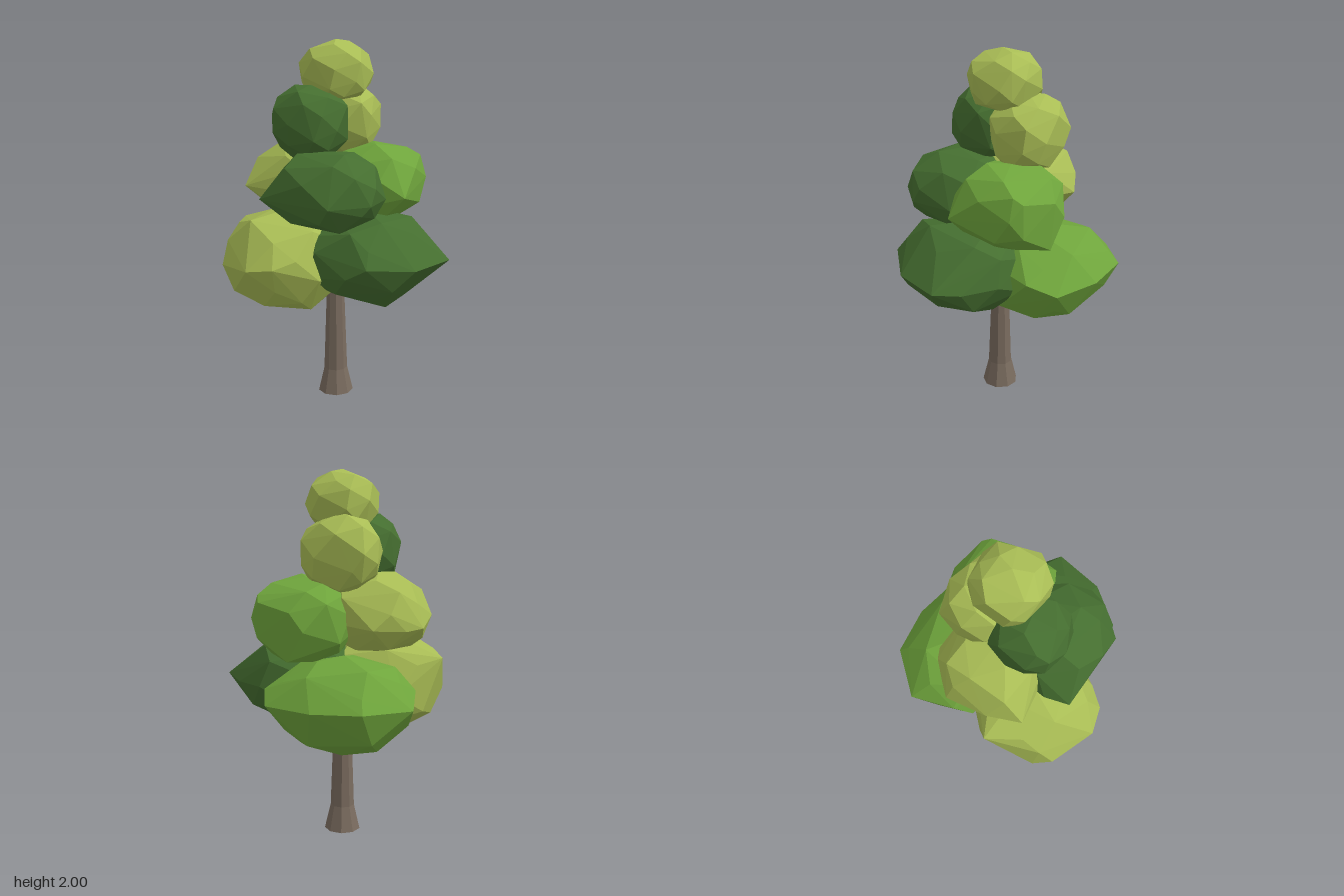
import * as THREE from 'three';
import { ConvexGeometry } from 'three/addons/geometries/ConvexGeometry.js';

const material = (color) => new THREE.MeshStandardMaterial({ color, flatShading: true });

// Small seeded generator for the uneven facets
function seeded(seed) {
  let s = seed * 7919 + 17;
  return () => (s = (s * 16807) % 2147483647) / 2147483647;
}

// Fuller than a plain ellipsoid: pushes the diagonals outward
const swell = (t) => Math.sign(t) * Math.abs(t) ** 0.82;

// Faceted clump: hull of uneven points on a swollen ellipsoid plus a few jutting corners
function clumpGeometry(center, radii, corners, seed) {
  const rand = seeded(seed), points = [], count = 34;
  rand();
  for (let i = 0; i < count; i++) {
    const y = 1 - (2 * i) / (count - 1);
    const ring = Math.sqrt(1 - y * y);
    const angle = i * 2.39996 + seed + (rand() - 0.5) * 0.35;
    const r = 0.94 + rand() * 0.07;
    const direction = new THREE.Vector3(swell(Math.cos(angle) * ring), swell(y), swell(Math.sin(angle) * ring));
    points.push(direction.multiply(radii).multiplyScalar(r).add(center));
  }
  for (const [x, y, z] of corners) points.push(new THREE.Vector3(x, y, z));
  return new ConvexGeometry(points);
}

export function createModel() {
  const tree = new THREE.Group();
  tree.name = 'tree';

  // Trunk with a flared foot
  const profile = [[0, 0], [0.1, 0], [0.067, 0.14], [0.05, 0.62], [0.048, 0.82], [0, 0.82]]
    .map(([r, y]) => new THREE.Vector2(r, y));
  const trunk = new THREE.Mesh(new THREE.LatheGeometry(profile, 9), material(0x7a6c5f));
  trunk.name = 'trunk';
  trunk.position.x = -0.06;
  tree.add(trunk);

  const lime = material(0xa9bd55), green = material(0x6fa53c), dark = material(0x456e30);
  const v = (x, y, z) => new THREE.Vector3(x, y, z);

  function addClump(name, mat, center, radii, corners = []) {
    const mesh = new THREE.Mesh(clumpGeometry(center, radii, corners, tree.children.length), mat);
    mesh.name = name;
    tree.add(mesh);
  }

  // Low tier
  addClump('lowFrontClump', lime, v(-0.22, 0.83, 0.23), v(0.34, 0.28, 0.32),
    [[-0.19, 0.85, 0.605], [-0.44, 0.82, 0.51], [-0.58, 1, 0.16], [-0.05, 0.87, 0.56]]);
  addClump('lowSideClump', dark, v(0.19, 0.87, 0.03), v(0.31, 0.245, 0.36),
    [[0.59, 0.87, -0.13], [0.55, 0.87, 0.15], [0.34, 0.62, 0.1], [0.39, 0.9, 0.36], [0.47, 0.85, -0.22]]);
  addClump('lowBackClump', green, v(-0.18, 0.8, -0.25), v(0.37, 0.26, 0.31),
    [[-0.59, 0.83, -0.34], [-0.41, 0.84, -0.56], [-0.15, 0.83, -0.605], [0.12, 0.83, -0.56], [0.2, 0.88, -0.42]]);

  // Middle tier
  addClump('middleFrontClump', dark, v(0.05, 1.235, 0.2), v(0.3, 0.215, 0.27),
    [[-0.26, 1.2, 0.32], [-0.22, 1.2, 0.45], [0.22, 1.2, 0.45], [0.35, 1.2, 0.26]]);
  addClump('middleBackClump', green, v(0.07, 1.23, -0.19), v(0.28, 0.23, 0.28),
    [[0.23, 1.33, -0.42], [0.37, 1.19, -0.03], [0.05, 1.04, -0.45]]);
  addClump('middleSideClump', lime, v(-0.26, 1.25, 0.01), v(0.275, 0.22, 0.28),
    [[-0.55, 1.2, -0.09], [-0.44, 1.22, 0.31], [-0.35, 1.2, -0.28]]);

  // Upper pair and crown
  addClump('upperFrontClump', dark, v(-0.12, 1.57, 0.14), v(0.21, 0.205, 0.2));
  addClump('upperBackClump', lime, v(-0.11, 1.57, -0.14), v(0.22, 0.21, 0.195),
    [[-0.3, 1.58, -0.28]]);
  addClump('crownClump', lime, v(-0.065, 1.83, -0.02), v(0.195, 0.165, 0.19), [[-0.06, 2, -0.01]]);
  return tree;
}
